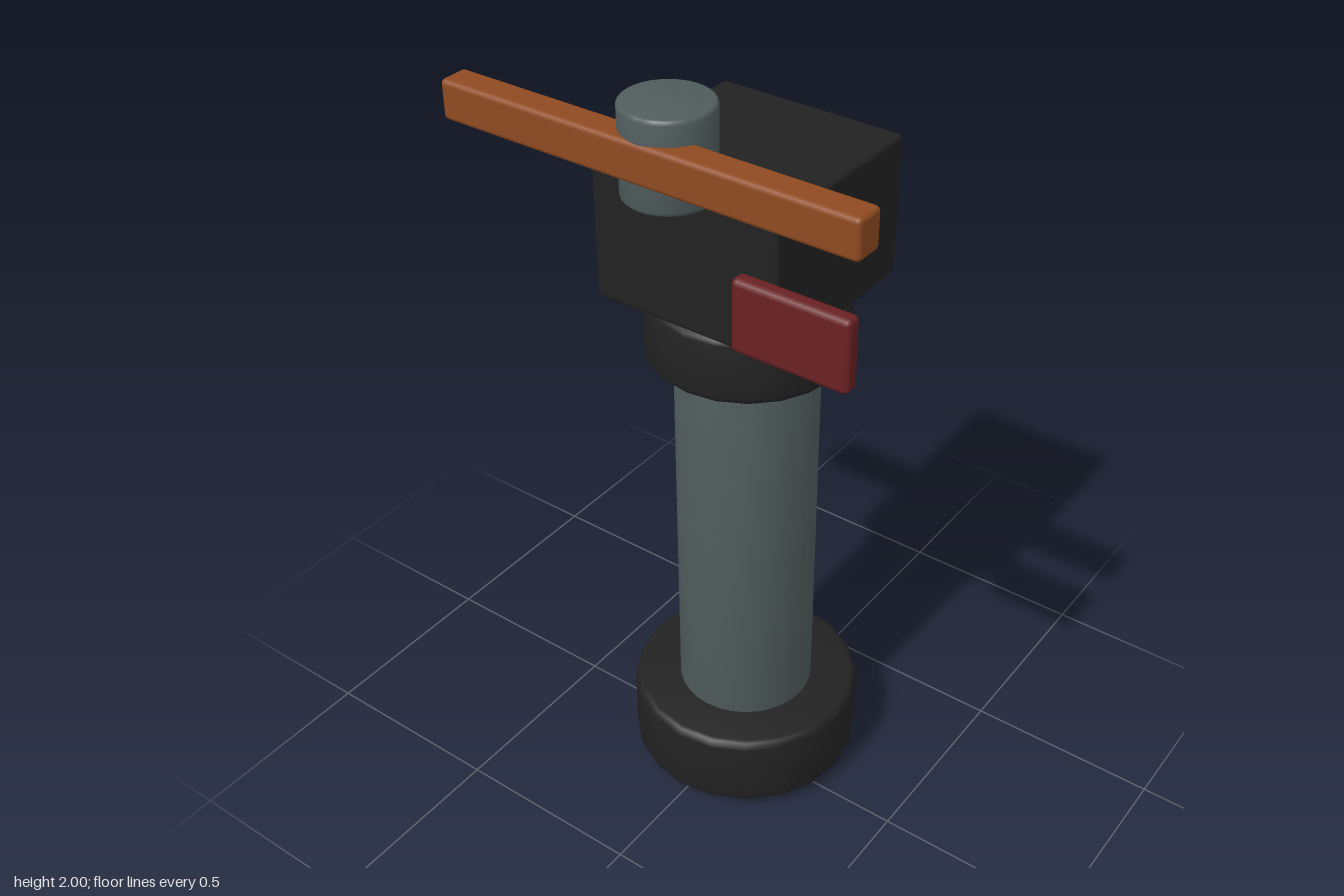
import * as THREE from 'three';
import { toCreasedNormals } from 'three/addons/utils/BufferGeometryUtils.js';
import { RoundedBoxGeometry } from 'three/addons/geometries/RoundedBoxGeometry.js';

function material(name, color) {
  const m = new THREE.MeshStandardMaterial({ color });
  m.name = name;
  return m;
}

// Upright cylinder with softened rims
function bevelledCylinder(radius, y0, y1, bevel, sides) {
  const points = [new THREE.Vector2(0, y0)];
  const steps = 3;
  for (let i = 0; i <= steps; i++) {
    const a = (i / steps) * Math.PI / 2;
    points.push(new THREE.Vector2(radius - bevel + bevel * Math.sin(a), y0 + bevel - bevel * Math.cos(a)));
  }
  for (let i = 0; i <= steps; i++) {
    const a = (i / steps) * Math.PI / 2;
    points.push(new THREE.Vector2(radius - bevel + bevel * Math.cos(a), y1 - bevel + bevel * Math.sin(a)));
  }
  points.push(new THREE.Vector2(0, y1));
  return toCreasedNormals(new THREE.LatheGeometry(points, sides), 0.6);
}

export function createModel() {
  const group = new THREE.Group();
  const black = material('black', 0x222222);
  const steel = material('grey steel', 0x505c5c);
  const wood = material('brown wood', 0x8f4a20);
  const red = material('dark red', 0x6a2022);

  const add = (name, geometry, mat, x, y, z) => {
    const mesh = new THREE.Mesh(geometry, mat);
    mesh.name = name;
    mesh.position.set(x, y, z);
    group.add(mesh);
  };

  const axisZ = -0.055;

  // Upright post with its foot ring and collar
  add('post', bevelledCylinder(0.176, 0, 1.42, 0.012, 32), steel, 0, 0, axisZ);
  add('footRing', bevelledCylinder(0.298, 0.03, 0.24, 0.02, 20), black, 0, 0, axisZ);
  add('collar', bevelledCylinder(0.245, 1.265, 1.44, 0.02, 20), black, 0, 0, axisZ);

  // Square head
  add('head', new RoundedBoxGeometry(0.49, 0.35, 0.49, 2, 0.012), black, 0, 1.615, axisZ);

  // Knob and crossbar at the front of the head
  add('knob', bevelledCylinder(0.104, 1.79, 2, 0.008, 32), steel, 0, 0, 0.226);
  add('crossbar', new RoundedBoxGeometry(1.054, 0.094, 0.076, 2, 0.012), wood, 0, 1.898, 0.296);

  // Side plate
  add('sidePlate', new RoundedBoxGeometry(0.282, 0.172, 0.042, 2, 0.014), red, 0.386, 1.65, 0.334);

  return group;
}
